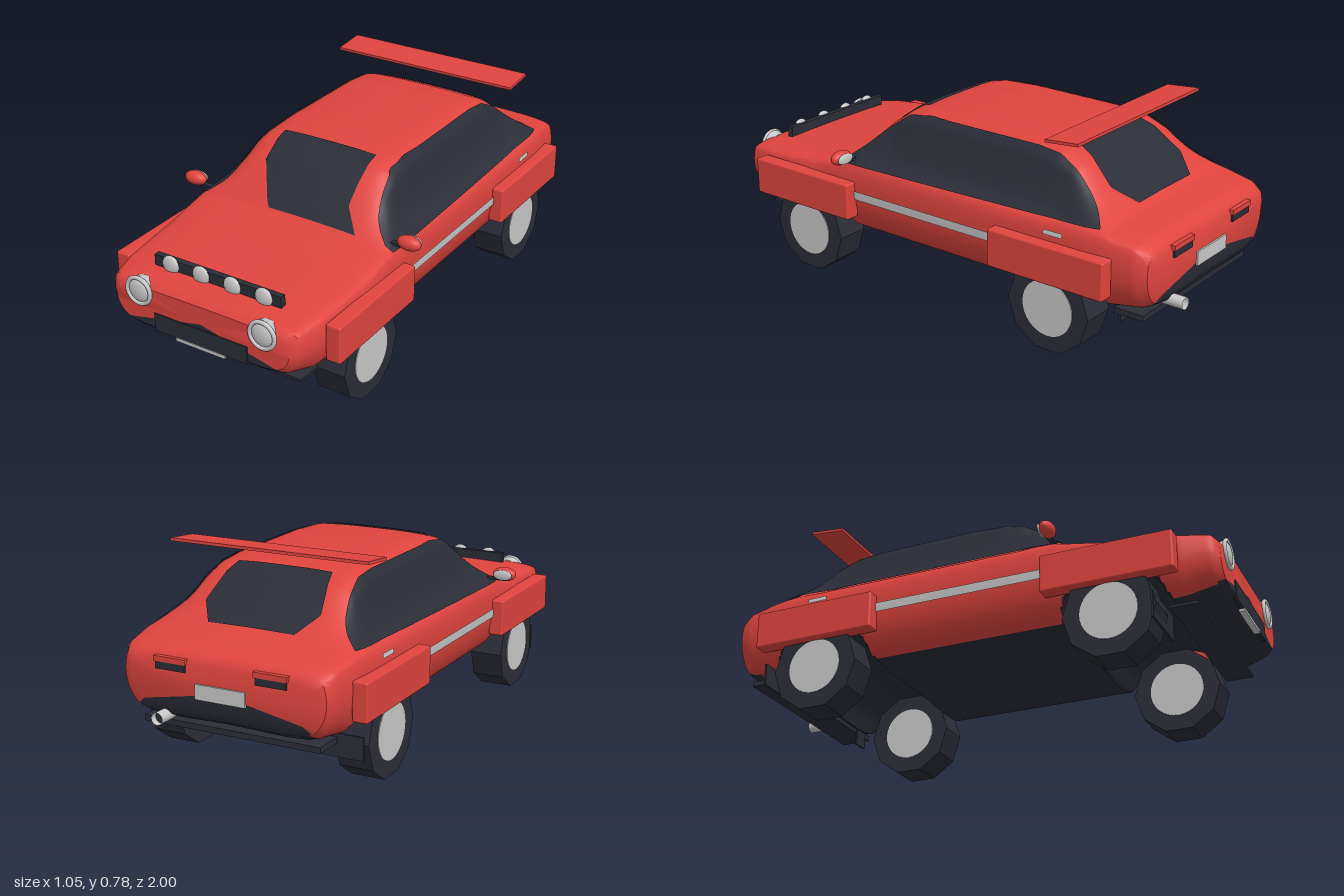
import * as THREE from 'three';
import { toCreasedNormals } from 'three/addons/utils/BufferGeometryUtils.js';
import { RoundedBoxGeometry } from 'three/addons/geometries/RoundedBoxGeometry.js';

const paint = new THREE.MeshStandardMaterial({ name: 'redPaint', color: 0xe0443e });
const dark = new THREE.MeshStandardMaterial({ name: 'darkTrim', color: 0x2b2d37, side: THREE.DoubleSide });
const silver = new THREE.MeshStandardMaterial({ name: 'silver', color: 0xc9c9ca, side: THREE.DoubleSide });

// Body stations: z, half width, floor, shoulder and roof heights
const STATIONS = [
  [0.985, 0.37, 0.26, 0.38, 0.41], [0.96, 0.40, 0.24, 0.41, 0.432], [0.85, 0.425, 0.205, 0.42, 0.45],
  [0.6, 0.44, 0.19, 0.44, 0.475], [0.44, 0.44, 0.19, 0.47, 0.50], [0.4, 0.44, 0.19, 0.475, 0.54],
  [0.3, 0.44, 0.19, 0.48, 0.635], [0.22, 0.44, 0.19, 0.48, 0.69], [0.15, 0.44, 0.19, 0.48, 0.708],
  [0, 0.44, 0.19, 0.48, 0.716], [-0.4, 0.44, 0.19, 0.48, 0.711], [-0.5, 0.44, 0.19, 0.48, 0.70],
  [-0.58, 0.44, 0.19, 0.48, 0.665], [-0.7, 0.44, 0.19, 0.478, 0.565], [-0.78, 0.435, 0.195, 0.475, 0.505],
  [-0.9, 0.42, 0.215, 0.455, 0.483], [-0.945, 0.40, 0.24, 0.43, 0.458], [-0.955, 0.37, 0.27, 0.40, 0.43],
];
// Upper section: width and height fractions for the cabin and for the hood
const CABIN = [[0.97, 0], [0.87, 0.12], [0.79, 0.35], [0.73, 0.6], [0.68, 0.8], [0.58, 0.94], [0.35, 0.99], [0, 1]];
const HOOD = [[0.97, 0], [0.94, 0.3], [0.88, 0.55], [0.79, 0.72], [0.68, 0.84], [0.55, 0.91], [0.35, 0.97], [0, 1]];
const WHEEL_Z = [0.6, -0.57];
const { lerp, clamp } = THREE.MathUtils;

// Linear lookup in a table sorted by falling z
function lookup(table, z, col = 1) {
  let i = 0;
  while (i < table.length - 2 && z < table[i + 1][0]) i++;
  const a = table[i], b = table[i + 1];
  return lerp(a[col], b[col], clamp((z - a[0]) / (b[0] - a[0]), 0, 1));
}

// Half cross-section from the floor centre up to the roof centre
function section(z) {
  const [w, floor, sh, top] = [1, 2, 3, 4].map(c => lookup(STATIONS, z, c));
  const h = top - sh, k = clamp((h - 0.03) / 0.17, 0, 1), d = sh - floor;
  const pts = [[0, floor], [0.72 * w, floor], [0.88 * w, floor + 0.1 * d], [0.965 * w, floor + 0.33 * d], [w, floor + 0.66 * d]];
  CABIN.forEach((c, i) => pts.push([w * lerp(HOOD[i][0], c[0], k), sh + h * lerp(HOOD[i][1], c[1], k)]));
  return new THREE.CatmullRomCurve3(pts.map(p => new THREE.Vector3(p[0], p[1], z)));
}

// Point on the upper body where x or y has the given value
function onBody(axis, value, z) {
  const curve = section(z);
  let lo = 0.3, hi = 1;
  for (let n = 0; n < 18; n++) {
    const mid = (lo + hi) / 2, v = curve.getPoint(mid)[axis];
    if (axis === 'y' ? v < value : v > value) lo = mid; else hi = mid;
  }
  return curve.getPoint(lo);
}

function geometryFrom(positions, index) {
  const g = new THREE.BufferGeometry();
  g.setAttribute('position', new THREE.Float32BufferAttribute(positions, 3));
  g.setIndex(index);
  return g;
}

// Thin sheet following the body; limits(z) gives the span in x or y
function patch(axis, zFrom, zTo, limits, side = 1, nz = 32, nv = 12) {
  const pos = [], index = [];
  for (let i = 0; i <= nz; i++) {
    const z = lerp(zFrom, zTo, i / nz), [a, b] = limits(z);
    for (let j = 0; j <= nv; j++) {
      const v = lerp(a, b, j / nv), p = onBody(axis, axis === 'x' ? Math.abs(v) : v, z);
      const out = new THREE.Vector2(p.x, p.y - 0.3).setLength(0.006);
      pos.push((p.x + out.x) * (axis === 'x' ? Math.sign(v) : side), p.y + out.y, z);
      if (i < nz && j < nv) {
        const q = i * (nv + 1) + j, r = q + nv + 1;
        if (side > 0) index.push(q, r, q + 1, q + 1, r, r + 1);
        else index.push(q, q + 1, r, q + 1, r + 1, r);
      }
    }
  }
  const g = geometryFrom(pos, index);
  g.computeVertexNormals();
  return g;
}

// Lofted shell with the two wheel tunnels pressed into its floor
function bodyShell() {
  const pos = [], shell = [], under = [], low = [];
  const N = 52, ring = 2 * N, zs = [0.986];
  for (let i = 0; i <= 160; i++) zs.push(lerp(0.985, -0.955, i / 160));
  zs.push(-0.957);
  zs.forEach((z, i) => {
    const cap = i === 0 || i === zs.length - 1;
    const curve = section(z), floor = lookup(STATIONS, z, 2);
    let arch = floor + 0.012;
    for (const c of WHEEL_Z) {
      const d = 0.04 - (z - c) ** 2;
      if (d > 0) arch = Math.max(arch, 0.17 + Math.sqrt(d));
    }
    const tunnel = arch > floor + 0.0121;
    for (let j = 0; j < ring; j++) {
      const p = curve.getPoint((j <= N ? j : ring - j) / N);
      low.push(!cap && p.y <= arch);
      if (tunnel) p.y = Math.max(p.y, arch);
      if (cap) pos.push(0, 0.34, z);
      else pos.push(j <= N ? p.x : -p.x, p.y, z);
    }
  });
  for (let i = 0; i < zs.length - 1; i++) for (let j = 0; j < ring; j++) {
    const a = i * ring + j, b = i * ring + (j + 1) % ring, c = a + ring, d = b + ring;
    const list = (low[a] && low[b]) || (low[c] && low[d]) ? under : shell;
    list.push(a, c, b, b, c, d);
  }
  return [shell, under].map(ix => toCreasedNormals(geometryFrom(pos, ix), 0.7));
}

export function createModel() {
  const car = new THREE.Group();
  car.name = 'car';
  const add = (name, geo, mat, x = 0, y = 0, z = 0) => {
    const m = new THREE.Mesh(geo, mat);
    m.name = name;
    m.position.set(x, y, z);
    car.add(m);
    return m;
  };
  const box = (name, mat, x0, x1, y0, y1, z0, z1) =>
    add(name, new THREE.BoxGeometry(x1 - x0, y1 - y0, z1 - z0), mat, (x0 + x1) / 2, (y0 + y1) / 2, (z0 + z1) / 2);

  const [shell, under] = bodyShell();
  add('body', shell, paint);
  add('underbody', under, dark);

  // Windows
  const sill = [[0.42, 0.478], [-0.75, 0.494]];
  const head = [[0.42, 0.495], [0.3, 0.605], [0.2, 0.675], [0.1, 0.689], [-0.4, 0.686], [-0.5, 0.675], [-0.58, 0.635], [-0.68, 0.553], [-0.75, 0.497]];
  const screenR = [[0.43, 0.27], [0.36, 0.2], [0.17, 0.2]];
  const screenL = [[0.43, -0.1], [0.41, -0.12], [0.3, -0.2], [0.17, -0.2]];
  const rear = [[-0.52, 0.19], [-0.68, 0.23], [-0.76, 0.17]];
  add('windscreen', patch('x', 0.43, 0.17, z => [lookup(screenL, z), lookup(screenR, z)]), dark);
  add('rearWindow', patch('x', -0.52, -0.76, z => [-lookup(rear, z), lookup(rear, z)]), dark);

  for (const s of [1, -1]) {
    add('sideWindow', patch('y', 0.42, -0.75, z => [lookup(sill, z), lookup(head, z)], s, 60), dark);
    add('sideStrip', patch('y', 0.38, -0.34, () => [0.345, 0.38], s, 8, 2), silver);
    add('doorHandle', patch('y', -0.54, -0.62, () => [0.438, 0.455], s, 2, 2), silver);

    // Square fender flares
    add('frontFlare', new RoundedBoxGeometry(0.06, 0.145, 0.495, 2, 0.008), paint, s * 0.455, 0.343, 0.603);
    add('rearFlare', new RoundedBoxGeometry(0.06, 0.145, 0.495, 2, 0.008), paint, s * 0.455, 0.343, -0.57);

    // Ten-sided wheels standing on a flat
    for (const z of WHEEL_Z) {
      const tyre = new THREE.CylinderGeometry(0.173, 0.173, 0.13, 10).rotateZ(Math.PI / 2).rotateX(Math.PI / 10);
      tyre.computeBoundingBox();
      if (tyre.boundingBox.min.y < -0.17) tyre.rotateX(Math.PI / 10);
      add('tyre', toCreasedNormals(tyre, 0.3), dark, s * 0.387, 0.165, z);
      add('hub', new THREE.CylinderGeometry(0.107, 0.107, 0.136, 32).rotateZ(Math.PI / 2), silver, s * 0.387, 0.165, z);
    }

    // Door mirrors
    add('mirror', new THREE.SphereGeometry(1, 20, 14).scale(0.048, 0.028, 0.028), paint, s * 0.475, 0.519, 0.388);
    add('mirrorGlass', new THREE.SphereGeometry(1, 16, 10).scale(0.04, 0.021, 0.008), silver, s * 0.475, 0.519, 0.364);
    box('mirrorStalk', dark, s * 0.43 - 0.03, s * 0.43 + 0.03, 0.494, 0.504, 0.375, 0.395);

    // Headlights
    add('headlightCup', new THREE.CylinderGeometry(0.055, 0.045, 0.04, 28).rotateX(Math.PI / 2), silver, s * 0.265, 0.39, 0.968);
    add('headlightRing', new THREE.TorusGeometry(0.051, 0.008, 8, 28), silver, s * 0.265, 0.39, 0.988);
    add('headlightLens', new THREE.SphereGeometry(0.044, 24, 12).scale(1, 1, 0.3), silver, s * 0.265, 0.39, 0.986);

    // Tail lights
    box('tailLight', paint, s * 0.2 - 0.065, s * 0.2 + 0.065, 0.425, 0.445, -0.966, -0.93);
    box('tailLightSlot', dark, s * 0.2 - 0.06, s * 0.2 + 0.06, 0.398, 0.425, -0.963, -0.94);
  }

  // Lamp bar on the hood
  box('lampBar', dark, -0.272, 0.272, 0.442, 0.485, 0.86, 0.884);
  for (const x of [-0.2, -0.067, 0.067, 0.2])
    add('hoodLamp', new THREE.SphereGeometry(0.036, 20, 12).scale(1, 1, 0.4), silver, x, 0.463, 0.884);

  // Nose and tail trim
  box('grille', dark, -0.2, 0.2, 0.25, 0.32, 0.96, 0.99);
  box('frontPlate', silver, -0.105, 0.105, 0.24, 0.253, 0.97, 0.993);
  box('rearPlate', silver, -0.1, 0.1, 0.31, 0.365, -0.963, -0.95);
  box('splitter', dark, -0.355, 0.355, 0.179, 0.19, 0.79, 0.895);
  box('diffuser', dark, -0.355, 0.355, 0.175, 0.197, -0.905, -0.785);
  box('rearMudFlap', dark, 0.25, 0.315, 0.125, 0.21, -0.788, -0.78);
  box('rearMudFlap', dark, -0.455, -0.25, 0.125, 0.21, -0.788, -0.78);
  box('frontMudFlap', dark, -0.457, -0.228, 0.11, 0.21, 0.755, 0.763);
  add('exhaust', new THREE.CylinderGeometry(0.023, 0.023, 0.13, 20, 1, true).rotateX(Math.PI / 2), silver, 0.235, 0.228, -0.935);
  add('exhaustBore', new THREE.CircleGeometry(0.022, 20), dark, 0.235, 0.228, -0.975);

  // Floating roof wing
  const wing = box('wing', paint, -0.4, 0.4, 0.763, 0.774, -0.65, -0.512);
  wing.rotation.x = 0.085;
  return car;
}
